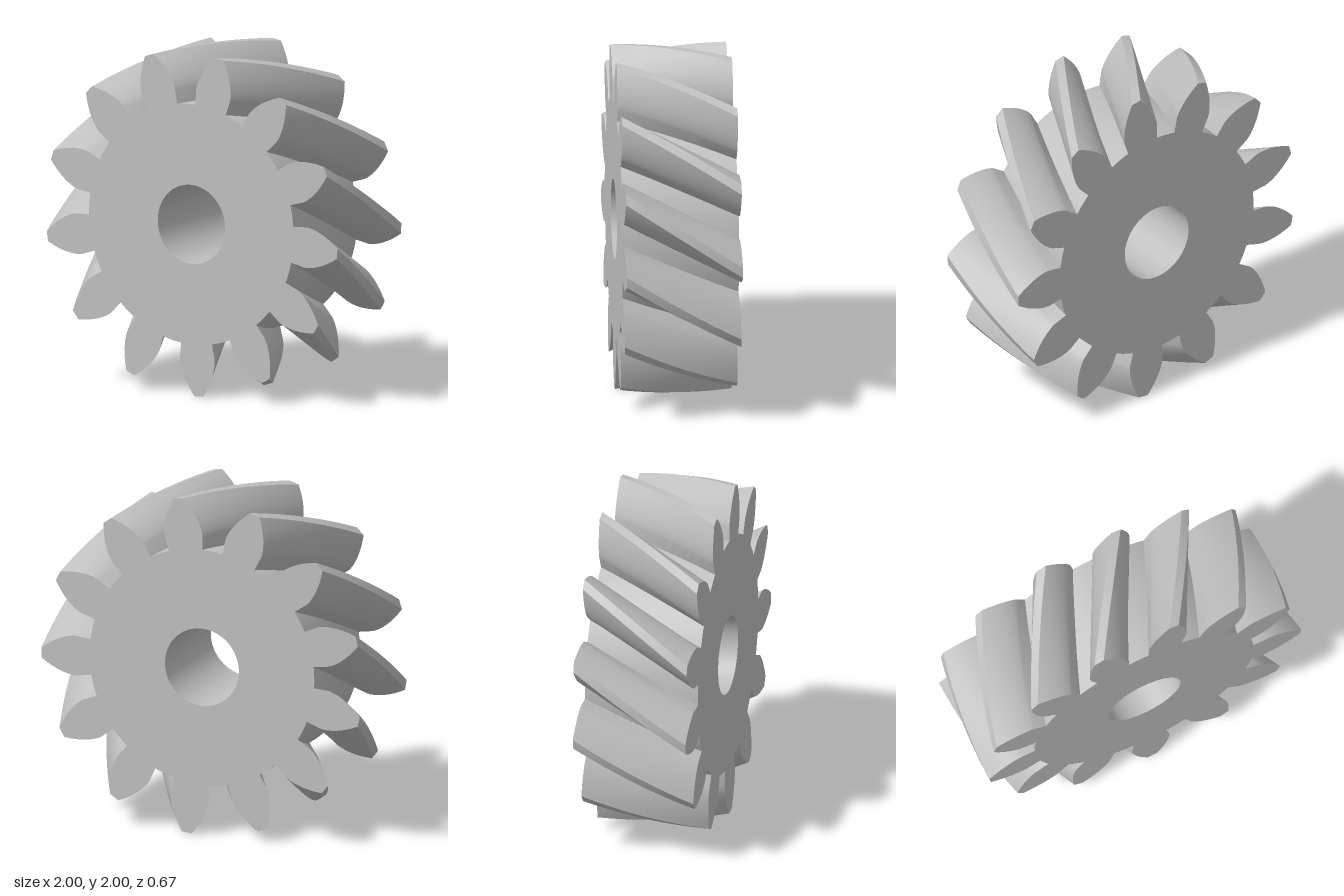
import * as THREE from 'three';
import { toCreasedNormals } from 'three/addons/utils/BufferGeometryUtils.js';

const TEETH = 13;
const TIP_R = 1, PITCH_R = 0.8667, ROOT_R = 0.7, BORE_R = 0.23;
const WIDTH = 0.667;
const PRESSURE = THREE.MathUtils.degToRad(25);
const TWIST = THREE.MathUtils.degToRad(25.2); // total turn from back to front
const FRONT_PHASE = THREE.MathUtils.degToRad(79.1); // a tooth centre on the front face

const polar = (r, a) => new THREE.Vector2(r * Math.cos(a), r * Math.sin(a));

// Closed gear outline: radial root walls, involute flanks, round tips and roots
function gearOutline() {
  const baseR = PITCH_R * Math.cos(PRESSURE);
  const inv = (r) => {
    const a = Math.acos(Math.min(1, baseR / r));
    return Math.tan(a) - a;
  };
  const baseHalf = Math.PI / 2 / TEETH + inv(PITCH_R);
  const flank = [[ROOT_R, baseHalf]];
  const n = 10;
  for (let i = 0; i <= n; i++) {
    const r = baseR + (TIP_R - baseR) * (i / n) ** 1.5;
    flank.push([r, baseHalf - inv(r)]);
  }
  const pitch = (2 * Math.PI) / TEETH;
  const points = [];
  for (let t = 0; t < TEETH; t++) {
    const centre = t * pitch;
    for (const [r, half] of flank) points.push(polar(r, centre - half));
    points.push(polar(TIP_R, centre));
    for (const [r, half] of [...flank].reverse()) points.push(polar(r, centre + half));
    for (const k of [-0.33, 0.33]) {
      points.push(polar(ROOT_R, centre + pitch / 2 + k * (pitch / 2 - baseHalf)));
    }
  }
  return points;
}

export function createModel() {
  const steel = new THREE.MeshStandardMaterial({ color: 0xbfbfbf });
  steel.name = 'steel grey';

  // Gear blank with a round bore
  const shape = new THREE.Shape(gearOutline());
  const bore = new THREE.Path();
  bore.absarc(0, 0, BORE_R, 0, Math.PI * 2, true);
  shape.holes.push(bore);
  const blank = new THREE.ExtrudeGeometry(shape, {
    depth: WIDTH, steps: 24, bevelEnabled: false, curveSegments: 64,
  });

  // Turn each slice about the axis to make the teeth helical
  const p = blank.attributes.position;
  const v = new THREE.Vector3();
  const axis = new THREE.Vector3(0, 0, 1);
  for (let i = 0; i < p.count; i++) {
    v.fromBufferAttribute(p, i);
    v.applyAxisAngle(axis, FRONT_PHASE - TWIST * (1 - v.z / WIDTH));
    p.setXYZ(i, v.x, v.y, v.z - WIDTH / 2);
  }

  const gear = new THREE.Mesh(toCreasedNormals(blank, Math.PI / 7), steel);
  gear.name = 'helicalGear';
  gear.position.y = TIP_R;

  const group = new THREE.Group();
  group.name = 'gear';
  group.add(gear);
  return group;
}
